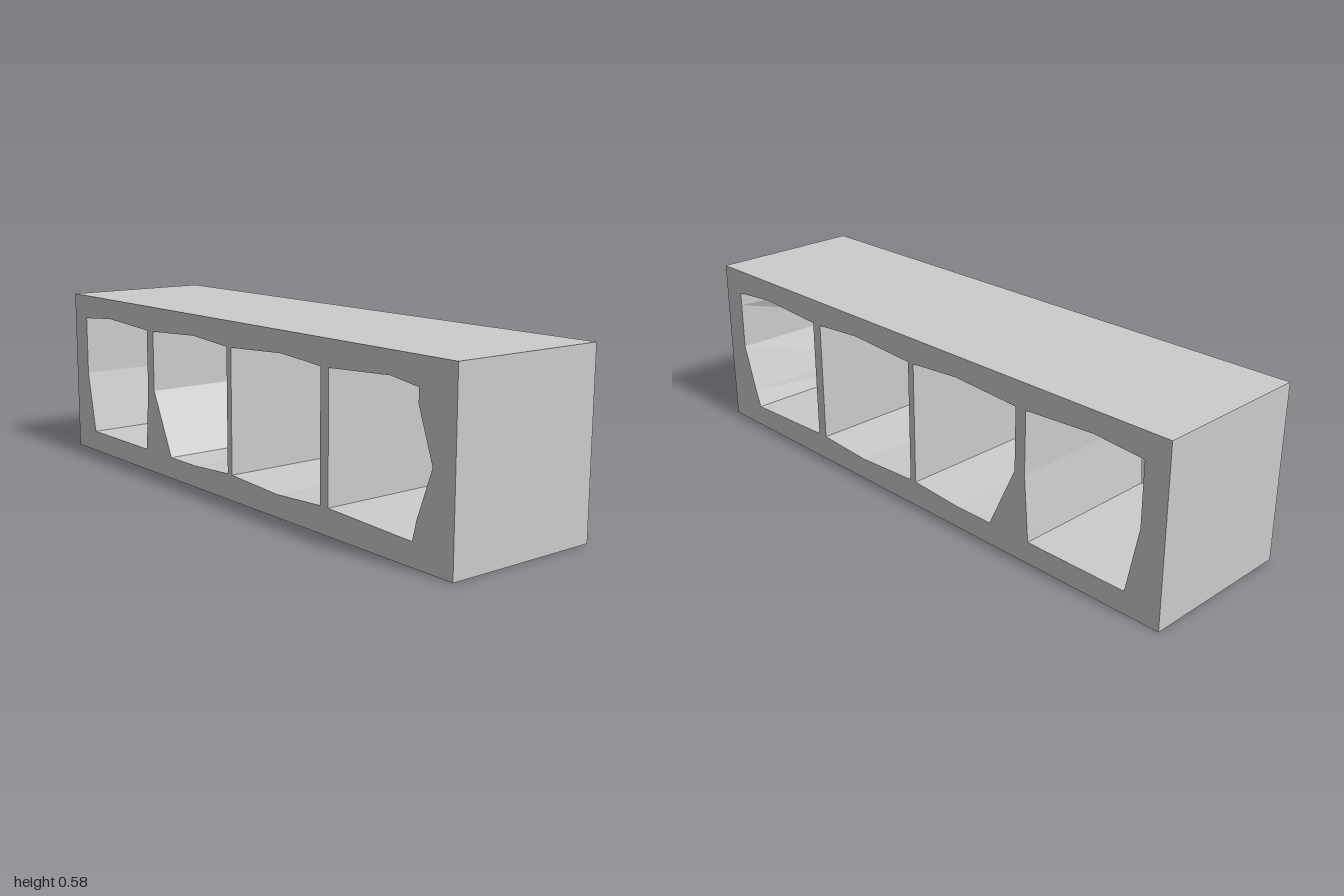
import * as THREE from 'three';

const W = 0.269, H = 0.58; // half width, height

// Outlines as [z, y], counter-clockwise seen from +x
const outer = [[1, 0], [-1, 0], [-1, H], [1, H]];
const frontBayLeft = [[0.845, 0.073], [0.493, 0.085], [0.493, 0.496], [0.75, 0.51],
  [0.917, 0.496], [0.917, 0.45], [0.917, 0.29], [0.868, 0.135]];
// The front bay narrows at its upper corner towards -x
const frontBayRight = [[0.845, 0.073], [0.493, 0.085], [0.493, 0.496], [0.75, 0.51],
  [0.86, 0.494], [0.86, 0.45], [0.917, 0.29], [0.86, 0.135]];
const bay2 = [[0.456, 0.085], [0.25, 0.073], [0.013, 0.085], [0.013, 0.496], [0.27, 0.51], [0.456, 0.496]];
const bay3 = [[-0.011, 0.085], [-0.2, 0.073], [-0.348, 0.073], [-0.45, 0.29], [-0.45, 0.496],
  [-0.2, 0.51], [-0.011, 0.496]];
const bay4 = [[-0.508, 0.073], [-0.874, 0.073], [-0.917, 0.29], [-0.917, 0.496],
  [-0.74, 0.51], [-0.49, 0.496], [-0.49, 0.29]];
const bays = [[frontBayLeft, frontBayRight], [bay2, bay2], [bay3, bay3], [bay4, bay4]];

// Flat-sided wall running across x between two matching outlines
function loft(left, right) {
  const pos = [];
  left.forEach((p, i) => {
    const j = (i + 1) % left.length;
    const a = [W, p[1], p[0]], b = [W, left[j][1], left[j][0]];
    const c = [-W, right[j][1], right[j][0]], d = [-W, right[i][1], right[i][0]];
    pos.push(...a, ...b, ...c, ...a, ...c, ...d);
  });
  const g = new THREE.BufferGeometry();
  g.setAttribute('position', new THREE.Float32BufferAttribute(pos, 3));
  g.computeVertexNormals();
  return g;
}

// Pierced side plate at x = side * W
function sidePlate(side) {
  const pts = (ring) => ring.map(([z, y]) => new THREE.Vector2(-side * z, y));
  const shape = new THREE.Shape(pts(outer));
  for (const bay of bays) shape.holes.push(new THREE.Path(pts(bay[side > 0 ? 0 : 1])));
  return new THREE.ShapeGeometry(shape).rotateY(side * Math.PI / 2).translate(side * W, 0, 0);
}

export function createModel() {
  const group = new THREE.Group();
  const material = new THREE.MeshStandardMaterial({ color: 0xcccccc, flatShading: true });
  const add = (name, geometry) => {
    const mesh = new THREE.Mesh(geometry, material);
    mesh.name = name;
    group.add(mesh);
  };

  // Top, bottom and end walls (reversed so they face outwards)
  const shell = [...outer].reverse();
  add('outerShell', loft(shell, shell));
  add('leftPlate', sidePlate(1));
  add('rightPlate', sidePlate(-1));
  // Inner walls of the four openings, front to back
  bays.forEach(([l, r], i) => add(`bayLining${i + 1}`, loft(l, r)));
  return group;
}
